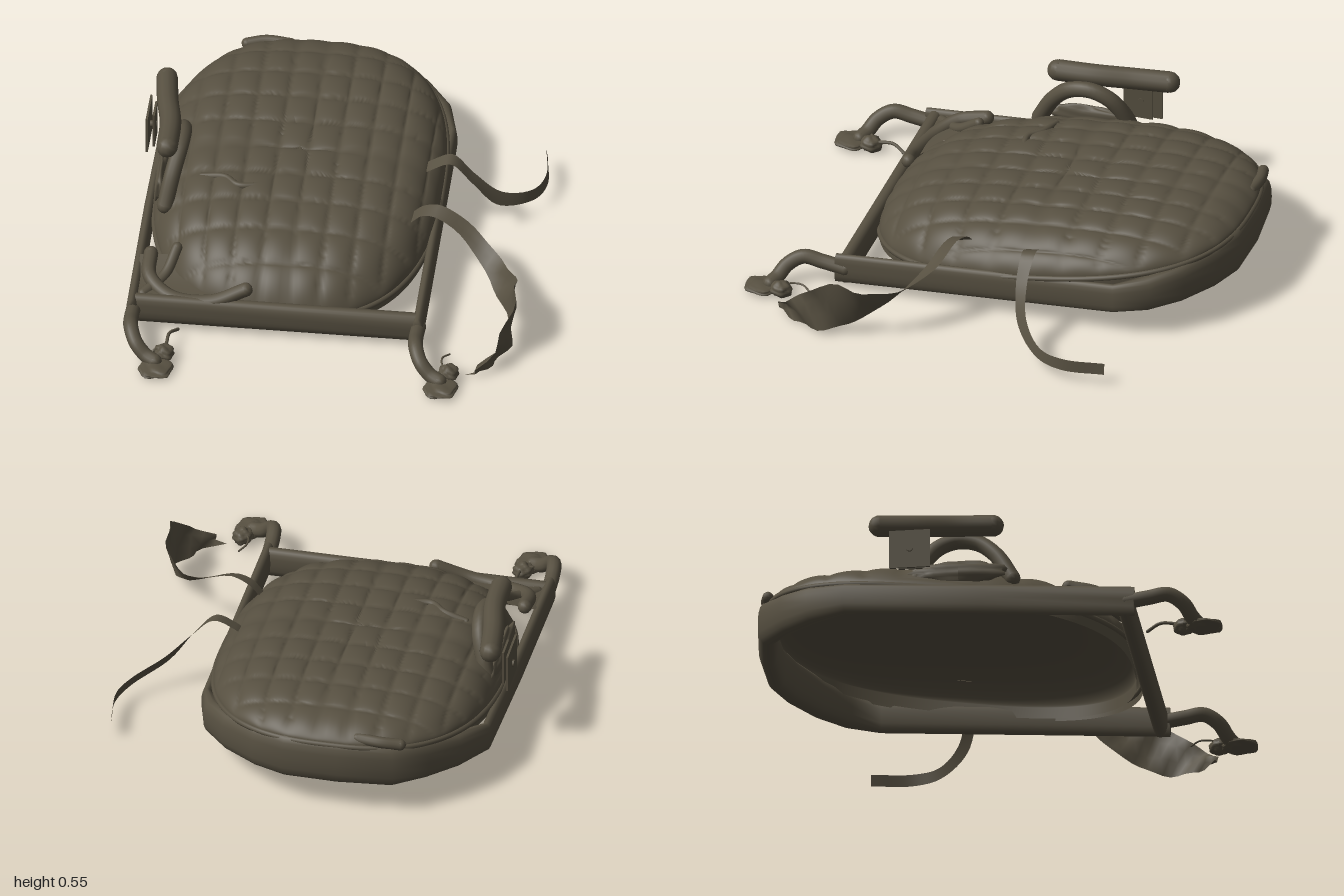
import * as THREE from 'three';

const olive = new THREE.MeshStandardMaterial({ color: 0x575041, side: THREE.DoubleSide });
olive.name = 'drab olive';

const V = (a) => new THREE.Vector3(...a);
const curve = (pts) => new THREE.CatmullRomCurve3(pts.map(V));

// Surface from a grid of points: rows x cols, optionally closed around each row
function gridGeometry(rows, closed, caps) {
  const n = rows[0].length, pos = rows.flat(2), idx = [];
  for (let i = 0; i < rows.length - 1; i++) {
    for (let j = 0; j < (closed ? n : n - 1); j++) {
      const k = (j + 1) % n, a = i * n + j, b = i * n + k;
      idx.push(a, a + n, b, b, a + n, b + n);
    }
  }
  if (caps) {
    const e = (rows.length - 1) * n;
    for (let j = 1; j < n - 1; j++) idx.push(0, j, j + 1, e, e + j + 1, e + j);
  }
  const g = new THREE.BufferGeometry();
  g.setAttribute('position', new THREE.Float32BufferAttribute(pos, 3));
  g.setIndex(idx);
  g.computeVertexNormals();
  return g;
}

// Padded load: rounded plan, fuller towards the front, tilted base, pressed in along the net lines
const CX = -0.17, CZ = -0.19, HX = 0.595, HZ = 0.785, ROUND = 2 / 2.6;
const baseY = (z) => 0.185 - 0.15 * z;
const spow = (v, p) => Math.sign(v) * Math.abs(v) ** p;
const cell = (v) => Math.abs(Math.sin(Math.PI * v)) ** 0.4;
function dome(fullness, groove, size, skirt) {
  const R = 80, N = 240, rows = [];
  for (let i = 0; i <= R + 1; i++) {
    const r = Math.min(1, Math.sin((Math.min(i, R) / R) * Math.PI / 2)), row = [];
    for (let j = 0; j < N; j++) {
      const t = (j / N) * Math.PI * 2;
      const ox = HX * size * spow(Math.cos(t), ROUND), oz = HZ * size * spow(Math.sin(t), ROUND);
      const x = CX + ox * r, z = CZ + oz * r;
      const press = groove * (1 - cell((x + 0.005) / 0.125) * cell((z + 0.02) / 0.16));
      const lean = 1 - 1.6 * press * r ** 6 * (1 - r ** 24);
      const height = fullness * (0.192 + 0.06 * z);
      const y = baseY(z) + height * Math.max(0, 1 - r ** 4) ** 0.6 - press * (1 - r ** 8);
      row.push([CX + ox * r * lean, i > R ? baseY(z) - skirt : y, CZ + oz * r * lean]);
    }
    rows.push(row);
  }
  return gridGeometry(rows, true, false);
}

// Mitred sweep of an upright oval along a mostly level path; size(z) gives [halfWidth, halfHeight]
function sweep(path, size, n = 16) {
  const rows = path.map((p, i) => {
    const a = V(path[Math.max(0, i - 1)]), b = V(p), c = V(path[Math.min(path.length - 1, i + 1)]);
    const d0 = b.clone().sub(a).setY(0).normalize(), d1 = c.clone().sub(b).setY(0).normalize();
    const dir = d0.clone().add(d1).normalize();
    const side = new THREE.Vector3(-dir.z, 0, dir.x);
    const miter = 1 / Math.max(0.6, dir.dot(d1.lengthSq() ? d1 : d0));
    const [w, h] = size(p[2]);
    return Array.from({ length: n }, (_, j) => {
      const t = (j / n) * Math.PI * 2;
      const s = spow(Math.cos(t), 0.8) * w * miter;
      return [b.x + side.x * s, b.y + spow(Math.sin(t), 0.8) * h, b.z + side.z * s];
    });
  });
  return gridGeometry(rows, true, true);
}

// Round cord with closed, rounded ends
function cord(pts, r, seg = 32) {
  const c = curve(pts), g = new THREE.Group();
  g.add(new THREE.Mesh(new THREE.TubeGeometry(c, seg, r, 12), olive));
  for (const t of [0, 1]) {
    const end = new THREE.Mesh(new THREE.SphereGeometry(r, 12, 8), olive);
    end.position.copy(c.getPoint(t));
    g.add(end);
  }
  return g;
}

// Ribbon between two edge curves, crumpling towards its end by the fold amount
function ribbon(edgeA, edgeB, seg, fold = 0) {
  const a = curve(edgeA), b = curve(edgeB), rows = [];
  for (let i = 0; i <= seg; i++) {
    const p = a.getPoint(i / seg), q = b.getPoint(i / seg);
    rows.push([0, 0.33, 0.67, 1].map((u, k) => {
      const m = p.clone().lerp(q, u);
      m.x += fold * (i / seg) ** 2 * Math.sin(i * 1.3 + k * 2.3);
      return m.toArray();
    }));
  }
  return gridGeometry(rows, false, false);
}

// Crumpled lump made by rippling a sphere
function lump(sx, sy, sz) {
  const g = new THREE.SphereGeometry(1, 24, 16), p = g.attributes.position, v = new THREE.Vector3();
  for (let i = 0; i < p.count; i++) {
    v.fromBufferAttribute(p, i);
    v.multiplyScalar(1 + 0.12 * Math.sin(5 * v.x + 1) * Math.sin(6 * v.z) + 0.08 * Math.sin(9 * v.y + 4 * v.x));
    p.setXYZ(i, v.x * sx, v.y * sy, v.z * sz);
  }
  g.computeVertexNormals();
  return g;
}

export function createModel() {
  const model = new THREE.Group();
  const add = (name, item, x = 0, y = 0, z = 0) => {
    const o = item.isBufferGeometry ? new THREE.Mesh(item, olive) : item;
    o.name = name;
    o.position.set(x, y, z);
    model.add(o);
    return o;
  };

  // Padded body and its hollow underside
  add('nettedPad', dome(1, 0.021, 1, 0.05));
  add('innerLiner', dome(0.74, 0, 0.96, 0.05));

  // Frame: two side rails of even depth joined by a bow that deepens towards the rear
  const plan = [[0.418, 0.64], [0.418, -0.57], [0.365, -0.7], [0.27, -0.81], [0.13, -0.905], [0, -0.955],
    [-0.22, -0.96], [-0.44, -0.935], [-0.56, -0.84], [-0.67, -0.72], [-0.768, -0.57], [-0.778, 0.0], [-0.778, 0.64]];
  const railHalf = (z) => 0.066 + 0.085 * Math.max(0, -0.57 - z);
  const railBottom = (z) => 0.068 - 0.072 * z;
  add('frameRail', sweep(plan.map(([x, z]) => [x, railBottom(z) + railHalf(z), z]),
    (z) => [z < -0.65 ? 0.042 : 0.023, railHalf(z)]));
  add('crossbar', sweep([[-0.785, 0.088, 0.6], [0.425, 0.088, 0.6]], () => [0.033, 0.065]));

  // Front legs curving down to crumpled feet, each with a loose cord
  for (const [side, x] of [['left', 0.418], ['right', -0.772]]) {
    add(side + 'Leg', cord([[x, 0.09, 0.6], [x, 0.105, 0.7], [x + 0.008, 0.118, 0.78],
      [x + 0.035, 0.085, 0.84], [x + 0.08, 0.045, 0.87], [x + 0.12, 0.032, 0.89]], 0.031));
    add(side + 'Foot', lump(0.068, 0.018, 0.075), x + 0.128, 0.019, 0.915);
    add(side + 'FootKnot', lump(0.042, 0.032, 0.045), x + 0.15, 0.034, 0.83);
  }
  add('rightCord', cord([[-0.66, 0.05, 0.84], [-0.62, 0.05, 0.81], [-0.61, 0.06, 0.73], [-0.58, 0.04, 0.67]], 0.007));
  add('leftCord', cord([[0.57, 0.05, 0.83], [0.54, 0.05, 0.8], [0.535, 0.05, 0.75], [0.56, 0.04, 0.71]], 0.004));

  // Carrying handle on the right side: padded grip over an arched strap
  add('handleGrip', cord([[-0.70, 0.505, 0.04], [-0.705, 0.51, -0.12], [-0.735, 0.505, -0.28], [-0.755, 0.505, -0.43]], 0.045));
  add('handleArch', cord([[-0.70, 0.26, 0.12], [-0.675, 0.38, 0.05], [-0.655, 0.45, -0.03], [-0.65, 0.465, -0.12],
    [-0.66, 0.43, -0.2], [-0.69, 0.34, -0.26], [-0.71, 0.27, -0.28]], 0.034));
  add('handleRoot', lump(0.022, 0.05, 0.2), -0.735, 0.28, -0.1);

  // Buckle: two thin plates joined by a short pin beside the handle
  [[-0.815, 0.17, 0.17], [-0.79, 0.16, 0.1]].forEach(([x, h, d]) =>
    add('bucklePlate', new THREE.BoxGeometry(0.009, h, d), x, 0.365, -0.295));
  const pin = add('bucklePin', new THREE.CylinderGeometry(0.014, 0.014, 0.045, 12), -0.805, 0.365, -0.295);
  pin.rotation.z = Math.PI / 2;

  // Rear loose strap, turning from flat to upright
  add('rearStrap', ribbon(
    [[0.33, 0.29, -0.24], [0.38, 0.325, -0.24], [0.46, 0.355, -0.245], [0.55, 0.27, -0.24], [0.66, 0.16, -0.27], [0.78, 0.105, -0.37], [0.822, 0.1, -0.48], [0.803, 0.1, -0.66]],
    [[0.33, 0.28, -0.18], [0.38, 0.315, -0.18], [0.46, 0.345, -0.185], [0.55, 0.25, -0.19], [0.65, 0.12, -0.23], [0.785, 0.06, -0.36], [0.828, 0.05, -0.48], [0.809, 0.05, -0.66]], 48));

  // Front loose strap, widening into a crumpled end
  add('frontStrap', ribbon(
    [[0.33, 0.28, 0.07], [0.38, 0.325, 0.08], [0.46, 0.345, 0.1], [0.6, 0.28, 0.15], [0.72, 0.22, 0.27], [0.795, 0.23, 0.4], [0.815, 0.26, 0.54], [0.78, 0.15, 0.69], [0.69, 0.04, 0.81]],
    [[0.33, 0.27, 0.13], [0.38, 0.315, 0.14], [0.45, 0.32, 0.16], [0.57, 0.25, 0.21], [0.68, 0.14, 0.32], [0.76, 0.07, 0.44], [0.8, 0.025, 0.56], [0.755, 0.005, 0.69], [0.65, 0.005, 0.8]], 32, 0.02));

  // Rolled webbing tucked around the front right corner, and folds on the cover
  add('cornerRoll', cord([[-0.73, 0.19, 0.36], [-0.72, 0.16, 0.48], [-0.62, 0.125, 0.565], [-0.45, 0.135, 0.59], [-0.31, 0.19, 0.565]], 0.03));
  add('cornerTie', cord([[-0.74, 0.13, 0.56], [-0.66, 0.16, 0.46], [-0.62, 0.23, 0.36]], 0.022));
  add('cornerWeb', ribbon(
    [[-0.775, 0.18, 0.36], [-0.775, 0.15, 0.47], [-0.77, 0.14, 0.58]],
    [[-0.66, 0.19, 0.36], [-0.6, 0.16, 0.46], [-0.4, 0.13, 0.59]], 16));
  add('coverFold', cord([[-0.56, 0.335, 0.0], [-0.46, 0.355, 0.02], [-0.4, 0.355, 0.07], [-0.3, 0.355, 0.06]], 0.014));
  add('rearFold', cord([[-0.48, 0.335, -0.93], [-0.4, 0.345, -0.945], [-0.3, 0.345, -0.935]], 0.024));

  // Hem cord around the edge of the padded body
  const hem = Array.from({ length: 64 }, (_, i) => {
    const t = (i / 64) * Math.PI * 2;
    const z = CZ + HZ * spow(Math.sin(t), ROUND);
    return V([CX + HX * spow(Math.cos(t), ROUND), baseY(z) - 0.01, z]);
  });
  add('hem', new THREE.TubeGeometry(new THREE.CatmullRomCurve3(hem, true), 200, 0.012, 8, true));

  return model;
}
